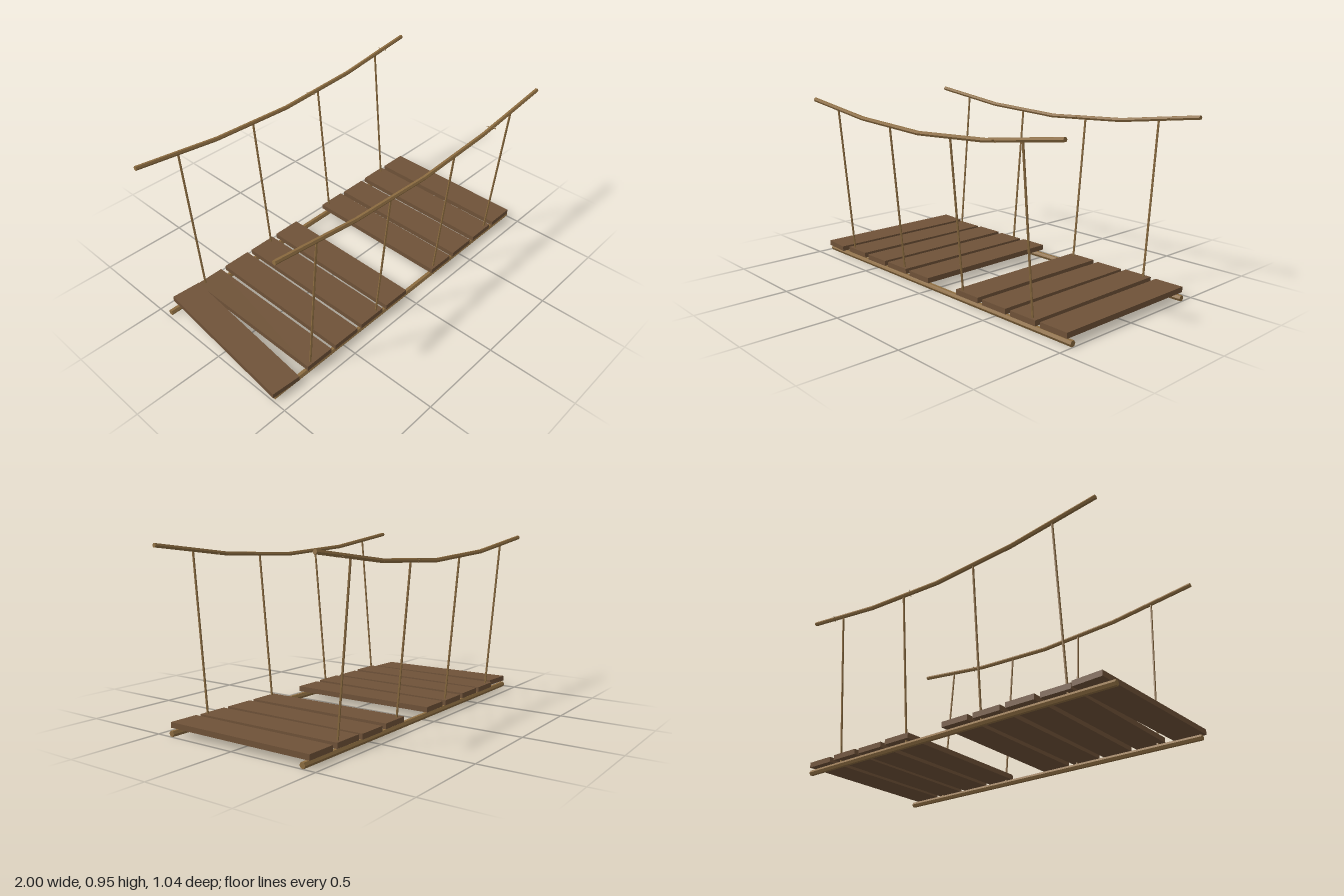
import * as THREE from 'three';

const rope = new THREE.MeshStandardMaterial({ color: 0x8c6c40, flatShading: true });
rope.name = 'rope';
const wood = new THREE.MeshStandardMaterial({ color: 0x6f5238, flatShading: true });
wood.name = 'plankWood';

// Closed rod between two points
function rod(name, a, b, radius, sides = 6) {
  const dir = b.clone().sub(a);
  const mesh = new THREE.Mesh(new THREE.CylinderGeometry(radius, radius, dir.length(), sides), rope);
  mesh.position.copy(a).add(b).multiplyScalar(0.5);
  mesh.quaternion.setFromUnitVectors(new THREE.Vector3(0, 1, 0), dir.normalize());
  mesh.name = name;
  return mesh;
}

const V = (x, y, z) => new THREE.Vector3(x, y, z);

// Sagging hand rope, straight between five points
const railXs = [-0.985, -0.49, 0.005, 0.5, 0.995];
const railYs = [0.94, 0.877, 0.853, 0.877, 0.94];
function railHeight(x) {
  let i = 0;
  while (i < 3 && x > railXs[i + 1]) i++;
  const t = (x - railXs[i]) / (railXs[i + 1] - railXs[i]);
  return railYs[i] + t * (railYs[i + 1] - railYs[i]);
}

// Frayed tuft of short fibres on a hand rope
function fray(x, z) {
  const tuft = new THREE.Group();
  tuft.name = 'frayedFibres';
  const centre = V(x, railHeight(x), z);
  for (let i = 0; i < 5; i++) {
    const angle = i * 1.26 + 0.3;
    const tip = V(Math.sin(i * 2.1) * 0.014, Math.sin(angle) * 0.012, Math.cos(angle) * 0.026);
    tuft.add(rod('fibre', centre, tip.add(centre), 0.002, 4));
  }
  return tuft;
}

export function createModel() {
  const model = new THREE.Group();
  model.name = 'ropeBridge';

  // Ropes on both sides
  for (const [side, zLow, zHigh] of [['front', 0.409, 0.488], ['back', -0.423, -0.502]]) {
    const group = new THREE.Group();
    group.name = side + 'Ropes';
    group.add(rod('footRope', V(-0.985, 0.0165, zLow), V(0.995, 0.0165, zLow), 0.0165));
    for (let i = 0; i < 4; i++) {
      group.add(rod('handRope', V(railXs[i], railYs[i], zHigh), V(railXs[i + 1], railYs[i + 1], zHigh), 0.0122));
    }
    for (const x of [-0.737, -0.242, 0.253, 0.748]) {
      group.add(rod('hangerRope', V(x, 0.02, zLow), V(x, railHeight(x), zHigh), 0.0062, 5));
    }
    model.add(group);
  }
  model.add(fray(0.575, 0.488), fray(0.82, -0.502), fray(0.2, -0.502));

  // Planks, with one missing and the first one knocked askew
  const plankGeometry = new THREE.BoxGeometry(0.166, 0.029, 0.882);
  for (let i = 0; i < 10; i++) {
    if (i === 5) continue;
    const plank = new THREE.Mesh(plankGeometry, wood);
    plank.name = 'plank';
    plank.position.set(-0.886 + i * 0.198, i === 7 ? 0.052 : 0.0545, -0.01);
    plank.rotation.x = i % 2 ? -0.002 : 0.003;
    if (i === 0) {
      plank.name = 'crookedPlank';
      plank.rotation.set(0.025, -0.074, 0);
    }
    model.add(plank);
  }
  return model;
}
